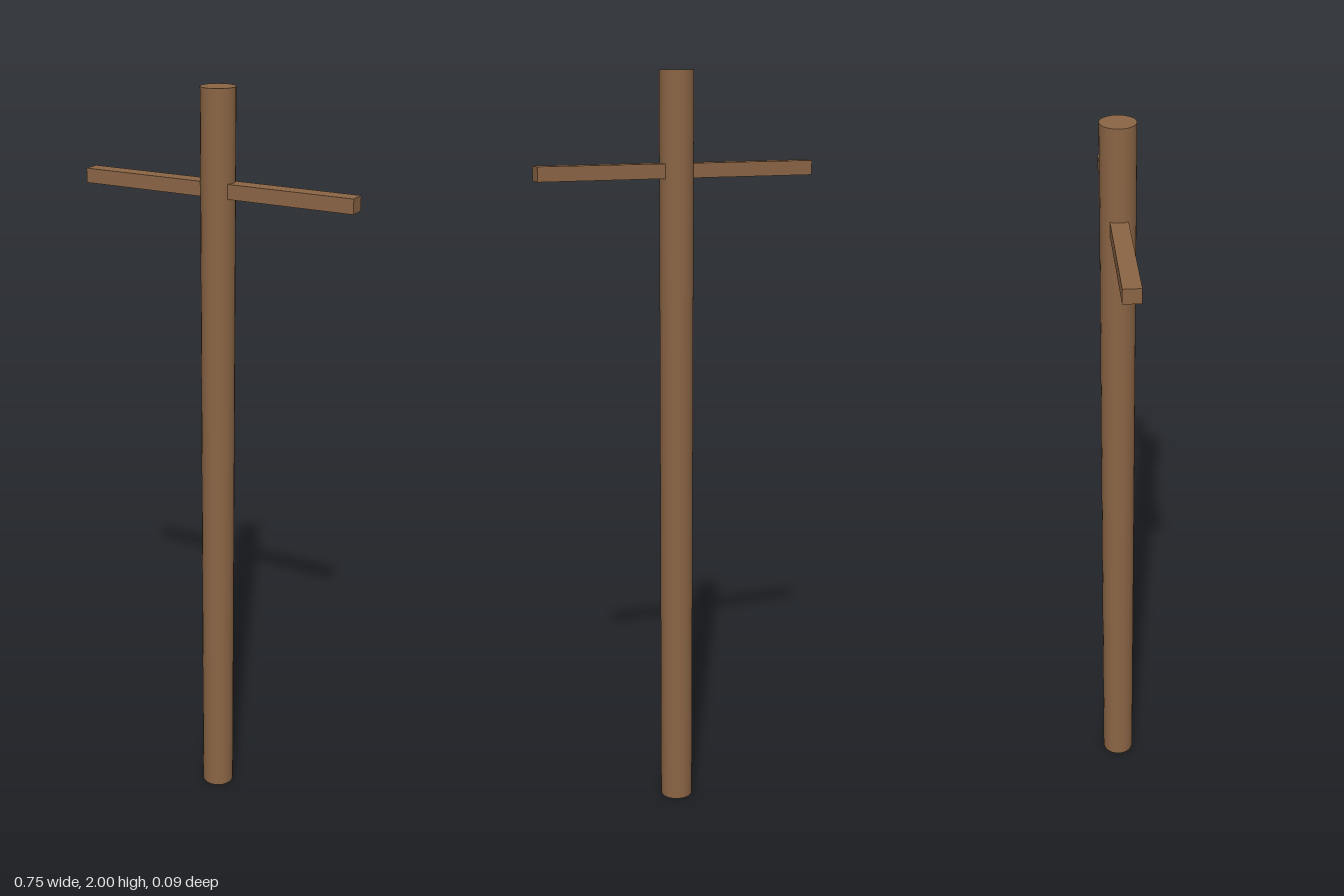
import * as THREE from 'three';

export function createModel() {
  const model = new THREE.Group();
  model.name = 'utilityPole';
  const wood = new THREE.MeshStandardMaterial({ color: 0x8b6545 });

  const add = (name, geometry, y) => {
    const mesh = new THREE.Mesh(geometry, wood);
    mesh.name = name;
    mesh.position.y = y;
    model.add(mesh);
  };

  // Upright round post
  add('post', new THREE.CylinderGeometry(0.044, 0.044, 2, 24), 1);

  // Square-cut beam passing through the post near its top
  add('crossArm', new THREE.BoxGeometry(0.746, 0.037, 0.044), 1.753);

  return model;
}
